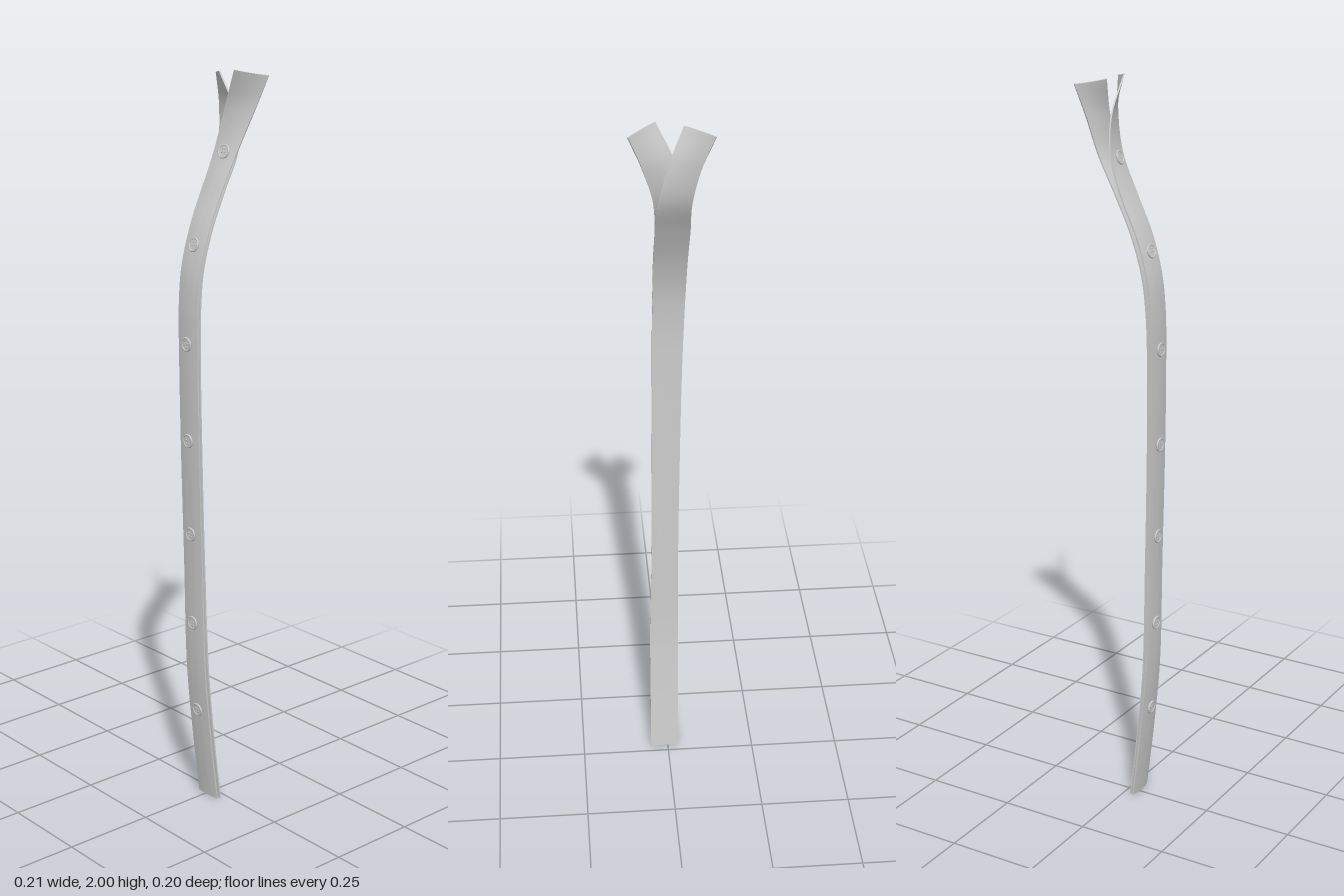
import * as THREE from 'three';
import { toCreasedNormals } from 'three/addons/utils/BufferGeometryUtils.js';

const material = new THREE.MeshStandardMaterial({ color: 0xcccccc, side: THREE.DoubleSide });
const curve = pts => new THREE.CatmullRomCurve3(pts.map(p => new THREE.Vector3(...p)));

// Rows shared by both bands: y, z, left x, right x below the collar opening
const body = [
  [0, 0.029, -0.03, 0.046], [0.2, 0.053, -0.031, 0.045], [0.4, 0.071, -0.032, 0.044],
  [0.7, 0.078, -0.033, 0.041], [1.0, 0.085, -0.035, 0.039], [1.25, 0.088, -0.037, 0.037],
  [1.4, 0.086, -0.04, 0.036], [1.5, 0.075, -0.042, 0.035], [1.6, 0.046, -0.043, 0.035],
  [1.7, 0.001, -0.044, 0.034],
];

const frontEdges = {
  left: curve([...body.map(([y, z, l]) => [l, y, z]),
    [-0.036, 1.8, -0.034], [-0.012, 1.9, -0.045], [0.034, 1.997, -0.035]]),
  right: curve([...body.map(([y, z, , r]) => [r, y, z]),
    [0.041, 1.8, -0.046], [0.069, 1.9, -0.077], [0.102, 1.984, -0.093]]),
};
const backEdges = {
  left: curve([...body.map(([y, z, l]) => [l - 0.01 * Math.max(0, (y - 0.8) / 0.9), y, z - 0.008]),
    [-0.054, 1.8, -0.058], [-0.075, 1.9, -0.082], [-0.105, 1.981, -0.097]]),
  right: curve([...body.map(([y, z, , r]) => [r + (y < 0.6 ? 0.004 : 0), y, z - 0.008]),
    [0.03, 1.8, -0.054], [0.004, 1.9, -0.061], [-0.034, 1.99, -0.046]]),
};

// Point and outward normal on a band; u runs across, v runs upward
function bandFrame({ left, right }, u, v) {
  const a = left.getPoint(v), b = right.getPoint(v);
  const across = b.clone().sub(a).normalize();
  const up = left.getTangent(v).add(right.getTangent(v));
  const normal = across.cross(up).normalize();
  const point = a.lerp(b, u).addScaledVector(normal, 0.003 * (1 - (2 * u - 1) ** 2));
  return { point, normal };
}

// Thin closed band lofted between two edge curves
function makeBand(name, edges) {
  const rows = 96, cols = 6, thickness = 0.004, ring = 2 * (cols + 1);
  const positions = [], index = [];
  for (let j = 0; j <= rows; j++) {
    for (let k = 0; k < ring; k++) {
      const front = k <= cols;
      const u = (front ? k : ring - 1 - k) / cols;
      const { point, normal } = bandFrame(edges, u, j / rows);
      point.addScaledVector(normal, (front ? 0.5 : -0.5) * thickness);
      positions.push(...point.toArray());
    }
  }
  for (let j = 0; j < rows; j++) {
    for (let k = 0; k < ring; k++) {
      const a = j * ring + k, b = j * ring + (k + 1) % ring;
      index.push(a, b, b + ring, a, b + ring, a + ring);
    }
  }
  // End caps
  for (let k = 0; k < cols; k++) {
    const a = k, b = k + 1, c = ring - 2 - k, d = ring - 1 - k, t = rows * ring;
    index.push(a, c, b, a, d, c, t + a, t + b, t + c, t + a, t + c, t + d);
  }
  const geometry = new THREE.BufferGeometry();
  geometry.setAttribute('position', new THREE.Float32BufferAttribute(positions, 3));
  geometry.setIndex(index);
  const mesh = new THREE.Mesh(toCreasedNormals(geometry, Math.PI / 4), material);
  mesh.name = name;
  return mesh;
}

// Four-hole button with a raised rim, facing +z
function makeButton() {
  const button = new THREE.Group();
  const shape = new THREE.Shape().absarc(0, 0, 0.017, 0, Math.PI * 2);
  for (const x of [-1, 1]) for (const y of [-1, 1]) {
    shape.holes.push(new THREE.Path().absarc(x * 0.0045, y * 0.0045, 0.0022, 0, Math.PI * 2, true));
  }
  const disc = new THREE.Mesh(
    new THREE.ExtrudeGeometry(shape, { depth: 0.004, bevelEnabled: false, curveSegments: 16 }), material);
  disc.name = 'buttonDisc';
  const rim = new THREE.Mesh(new THREE.TorusGeometry(0.0165, 0.0027, 8, 32), material);
  rim.name = 'buttonRim';
  rim.position.z = 0.003;
  button.add(disc, rim);
  return button;
}

// Parameter along the band at which its middle reaches a height
function paramAtHeight(edges, y) {
  let lo = 0, hi = 1;
  for (let i = 0; i < 30; i++) {
    const mid = (lo + hi) / 2;
    if (bandFrame(edges, 0.5, mid).point.y < y) lo = mid; else hi = mid;
  }
  return lo;
}

export function createModel() {
  const model = new THREE.Group();
  model.name = 'buttonPlacket';
  model.add(makeBand('frontBand', frontEdges), makeBand('backBand', backEdges));

  // Buttons lie flat on the front band
  [0.27, 0.53, 0.785, 1.045, 1.305, 1.56, 1.79].forEach((y, i) => {
    const { point, normal } = bandFrame(frontEdges, 0.5, paramAtHeight(frontEdges, y));
    const button = makeButton();
    button.name = `button${i + 1}`;
    button.position.copy(point).addScaledVector(normal, 0.002);
    button.quaternion.setFromUnitVectors(new THREE.Vector3(0, 0, 1), normal);
    model.add(button);
  });
  return model;
}
